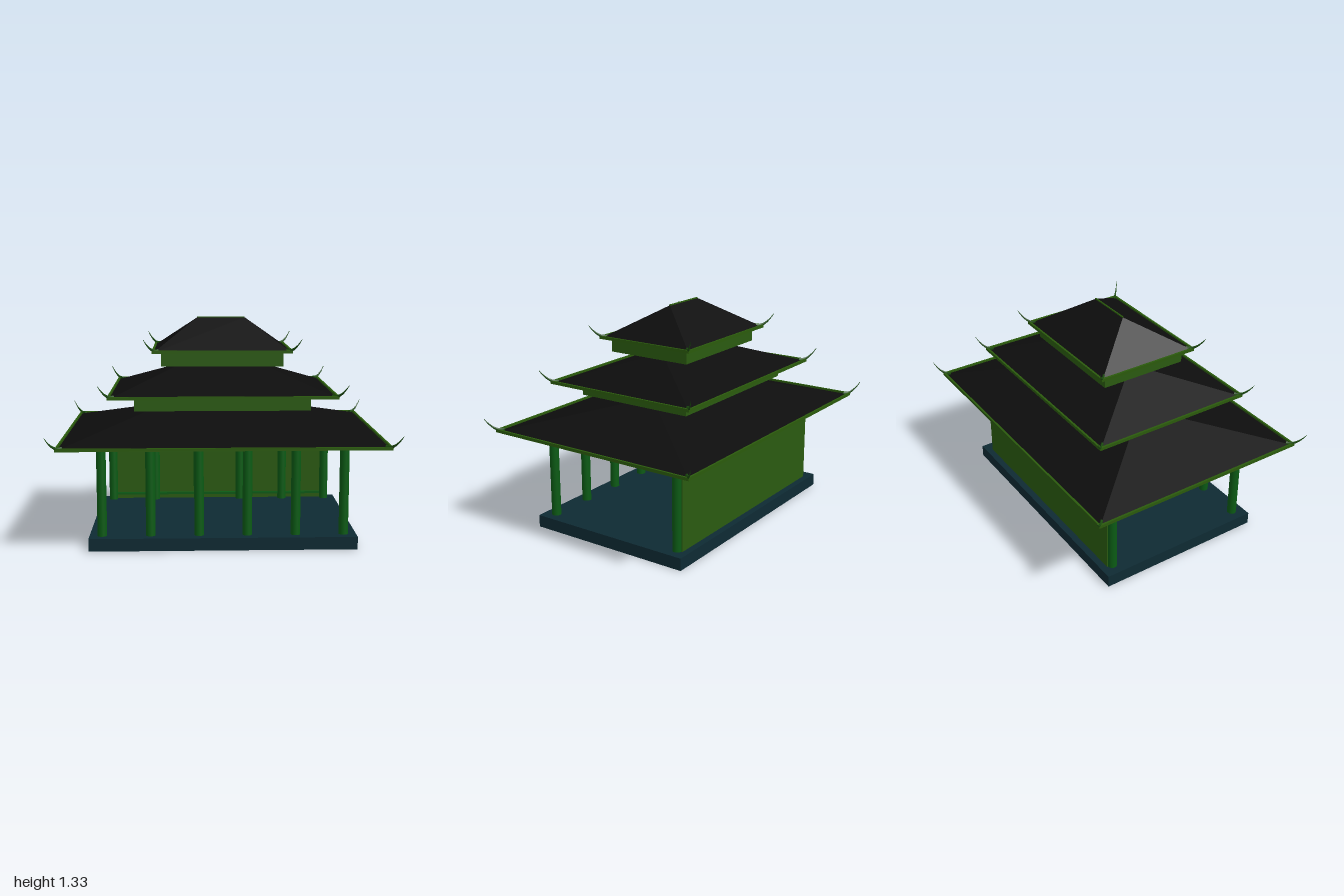
import * as THREE from 'three';

const mat = (color, extra = {}) => new THREE.MeshStandardMaterial({ color, ...extra });
const black = mat(0x0d0d0d, { flatShading: true });
const green = mat(0x0b5a14);
const trimGreen = mat(0x2a5a0c);
const wallGreen = mat(0x2a5a10);
const stone = mat(0x0e2a33);

function add(parent, name, geometry, material, x = 0, y = 0, z = 0) {
  const mesh = new THREE.Mesh(geometry, material);
  mesh.name = name;
  mesh.position.set(x, y, z);
  parent.add(mesh);
  return mesh;
}

// Box given by its size, lower y and centre in x and z
function box(parent, name, material, w, h, d, x, y0, z) {
  return add(parent, name, new THREE.BoxGeometry(w, h, d), material, x, y0 + h / 2, z);
}

// Hipped roof: a unit box whose top is drawn in to a ridge along x
function hipRoof(hx, hz, y0, y1, ridge) {
  const g = new THREE.BoxGeometry(2, 1, 2);
  const p = g.attributes.position;
  for (let i = 0; i < p.count; i++) {
    const top = p.getY(i) > 0;
    p.setXYZ(i, p.getX(i) * (top ? ridge : hx), top ? y1 : y0, p.getZ(i) * (top ? 0.001 : hz));
  }
  g.computeVertexNormals();
  return g;
}

// Upturned corner horn: a tapered tube bent along a curve in the diagonal plane
function horn(sx, sz) {
  const curve = new THREE.QuadraticBezierCurve3(
    new THREE.Vector3(-0.03 * sx, 0.004, -0.03 * sz),
    new THREE.Vector3(0.012 * sx, -0.004, 0.012 * sz),
    new THREE.Vector3(0.053 * sx, 0.076, 0.05 * sz));
  const g = new THREE.CylinderGeometry(0.0015, 0.012, 1, 8, 8);
  const p = g.attributes.position;
  const side = new THREE.Vector3(sz, 0, -sx).normalize();
  for (let i = 0; i < p.count; i++) {
    const t = p.getY(i) + 0.5;
    const normal = new THREE.Vector3().crossVectors(side, curve.getTangent(t));
    const v = curve.getPoint(t)
      .addScaledVector(side, p.getX(i) * 0.7)
      .addScaledVector(normal, -p.getZ(i));
    p.setXYZ(i, v.x, v.y, v.z);
  }
  g.computeVertexNormals();
  return g;
}

// One roof tier with eave trim and four horns
function roofTier(name, hx, hz, y0, y1, ridge) {
  const tier = new THREE.Group();
  tier.name = name;
  add(tier, 'roofSlopes', hipRoof(hx, hz, y0 + 0.004, y1, ridge), black);
  for (const s of [-1, 1]) {
    box(tier, 'eaveTrimLong', trimGreen, 2 * hx + 0.012, 0.018, 0.012, 0, y0, s * hz);
    box(tier, 'eaveTrimShort', trimGreen, 0.012, 0.018, 2 * hz + 0.012, s * hx, y0, 0);
    for (const t of [-1, 1]) {
      add(tier, 'cornerHorn', horn(s, t), trimGreen, s * hx, y0 + 0.009, t * hz).material = hornMaterial;
    }
  }
  return tier;
}
const hornMaterial = mat(0x1a4a0e, { side: THREE.DoubleSide });

export function createModel() {
  const model = new THREE.Group();
  model.name = 'pavilion';

  // Stone platform
  box(model, 'platform', stone, 1.57, 0.075, 1.05, 0, 0, 0);

  // Two rows of six columns with capitals, and beams across the depth
  const hall = new THREE.Group();
  hall.name = 'hall';
  model.add(hall);
  const column = new THREE.CylinderGeometry(0.028, 0.028, 0.53, 24);
  for (let i = 0; i < 6; i++) {
    const x = -0.71 + i * 0.284;
    for (const z of [-0.45, 0.45]) {
      add(hall, 'column', column, green, x, 0.34, z);
      box(hall, 'capital', green, 0.07, 0.015, 0.07, x, 0.605, z);
    }
    box(hall, 'crossBeam', green, 0.035, 0.018, 0.96, x, 0.602, 0);
  }
  for (const z of [-0.45, 0.45]) box(hall, 'longBeam', green, 1.47, 0.014, 0.035, 0, 0.606, z);

  // Back wall with its rails
  box(hall, 'backWall', wallGreen, 1.42, 0.545, 0.012, 0, 0.075, -0.479);
  box(hall, 'lowerRail', green, 1.42, 0.014, 0.02, 0, 0.102, -0.465);
  box(hall, 'upperRail', green, 1.42, 0.014, 0.02, 0, 0.592, -0.465);

  // Ceiling board
  box(hall, 'ceiling', green, 1.57, 0.008, 1.05, 0, 0.618, 0);

  // Three roofs with the storeys between them
  model.add(roofTier('lowerRoof', 0.94, 0.682, 0.621, 0.8, 0.33));
  box(model, 'middleStorey', wallGreen, 1.035, 0.088, 0.75, 0, 0.8, 0);
  model.add(roofTier('middleRoof', 0.66, 0.493, 0.883, 1.05, 0.225));
  box(model, 'upperStorey', wallGreen, 0.725, 0.086, 0.54, 0, 1.05, 0);
  model.add(roofTier('upperRoof', 0.408, 0.316, 1.131, 1.325, 0.145));

  // Ridge cap
  box(model, 'ridgeCap', trimGreen, 0.29, 0.01, 0.008, 0, 1.32, 0);
  return model;
}
